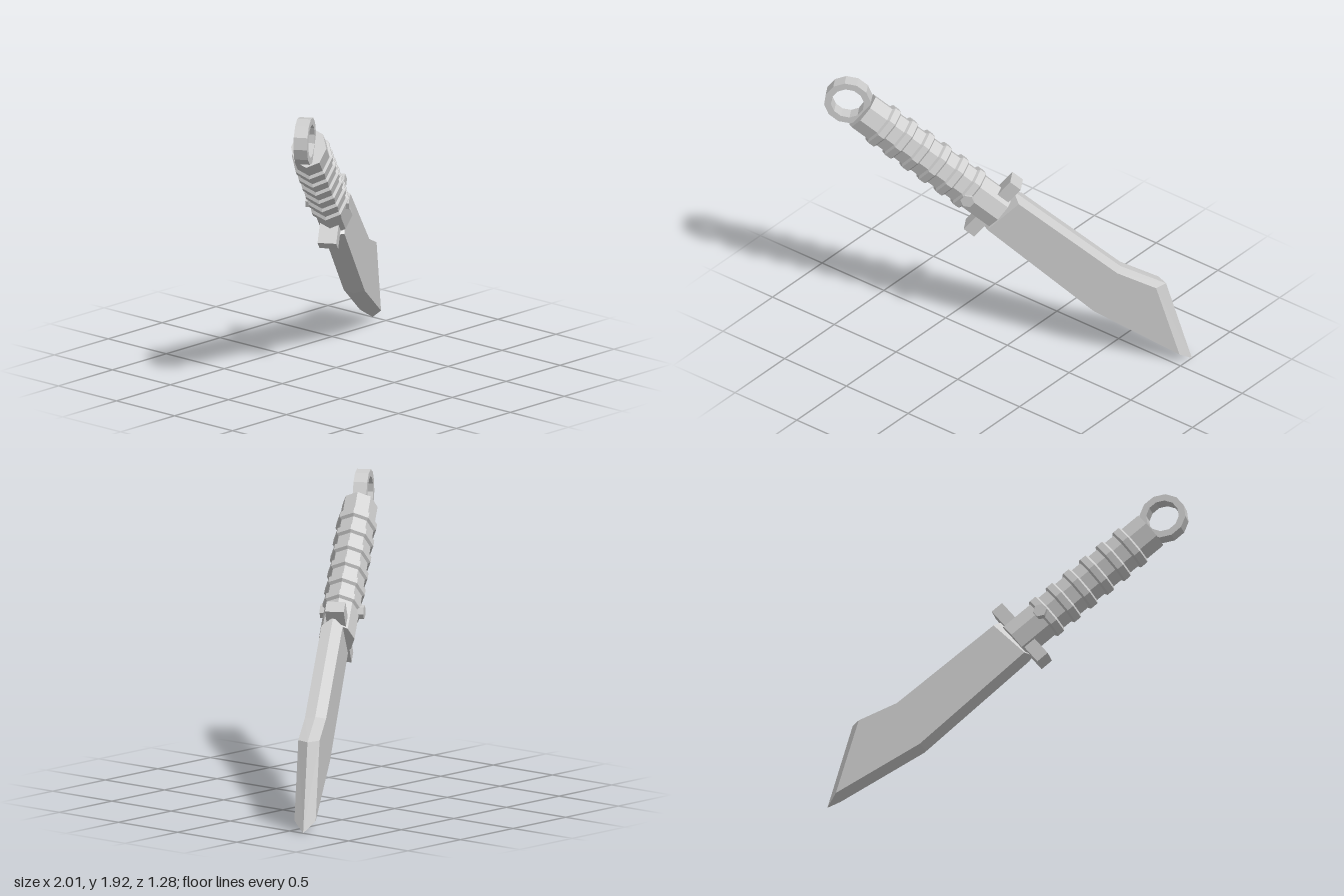
import * as THREE from 'three';

const material = new THREE.MeshStandardMaterial({ color: 0xcccccc, flatShading: true });

function part(name, geometry, parent) {
  const mesh = new THREE.Mesh(geometry, material);
  mesh.name = name;
  parent.add(mesh);
  return mesh;
}

// Blade: a flat outline on each side, joined by bevels to a wider outline in the middle.
// Both outlines run clockwise, starting at the bend in the spine.
function bladeGeometry() {
  const flat = [[0.878, 0.172], [1.131, 0.25], [1.55, -0.045], [0.946, -0.155], [0.064, -0.128], [0.093, 0.16]];
  const ridge = [[0.88, 0.188], [1.176, 0.282], [1.646, -0.053], [0.94, -0.18], [0.03, -0.15], [0.03, 0.175]];
  const count = flat.length;
  const half = 0.068, centre = 0.008;
  const positions = [];
  const index = [];
  for (const [x, y] of flat) positions.push(x, y, centre + half);
  for (const [x, y] of ridge) positions.push(x, y, centre);
  for (const [x, y] of flat) positions.push(x, y, centre - half);
  for (let i = 0; i < count; i++) {
    const j = (i + 1) % count;
    const r = count, b = 2 * count;
    index.push(i, j, r + j, i, r + j, r + i);
    index.push(b + i, r + j, b + j, b + i, r + i, r + j);
    if (i > 0 && i < count - 1) {
      index.push(0, i + 1, i);
      index.push(b, b + i, b + i + 1);
    }
  }
  const geometry = new THREE.BufferGeometry();
  geometry.setAttribute('position', new THREE.Float32BufferAttribute(positions, 3));
  geometry.setIndex(index);
  geometry.computeVertexNormals();
  return geometry;
}

// Grip: eight-sided oval with six raised bands
function gripGeometry() {
  const base = 0.137, band = 0.157;
  const profile = [[0, -1.055], [base, -1.055]];
  for (let i = 0; i < 6; i++) {
    const s = -0.886 + 0.137 * i;
    profile.push([base, s - 0.034], [band, s - 0.022], [band, s + 0.022], [base, s + 0.034]);
  }
  profile.push([base, 0.055], [0, 0.055]);
  const geometry = new THREE.LatheGeometry(profile.map(([r, s]) => new THREE.Vector2(r, s)), 8);
  geometry.rotateZ(-Math.PI / 2);
  geometry.scale(1, 1, 0.83);
  return geometry;
}

// Twelve-sided ring
function ringGeometry() {
  const circle = (r) => Array.from({ length: 12 }, (_, i) => {
    const a = ((i + 0.5) / 12) * Math.PI * 2;
    return new THREE.Vector2(r * Math.cos(a), r * Math.sin(a));
  });
  const shape = new THREE.Shape(circle(0.15));
  shape.holes.push(new THREE.Path(circle(0.106)));
  const geometry = new THREE.ExtrudeGeometry(shape, { depth: 0.088, bevelEnabled: false });
  geometry.translate(-1.17, 0, -0.052);
  return geometry;
}

export function createModel() {
  const model = new THREE.Group();
  model.name = 'knife';
  model.rotation.y = THREE.MathUtils.degToRad(32);

  // Everything is built along x, then tilted tip down
  const body = new THREE.Group();
  body.name = 'knifeBody';
  body.position.set(-0.09, 1.06, 0);
  body.rotation.z = THREE.MathUtils.degToRad(-38);
  model.add(body);

  part('blade', bladeGeometry(), body);
  part('grip', gripGeometry(), body);
  part('pommelRing', ringGeometry(), body);
  part('crossGuard', new THREE.BoxGeometry(0.085, 0.48, 0.12), body).position.z = -0.008;

  // Six-sided pin through the grip
  const pin = part('gripPin', new THREE.CylinderGeometry(0.045, 0.045, 0.28, 6), body);
  pin.rotation.x = Math.PI / 2;
  pin.position.set(-0.18, -0.01, -0.005);

  const root = new THREE.Group();
  root.name = 'model';
  root.add(model);
  return root;
}
